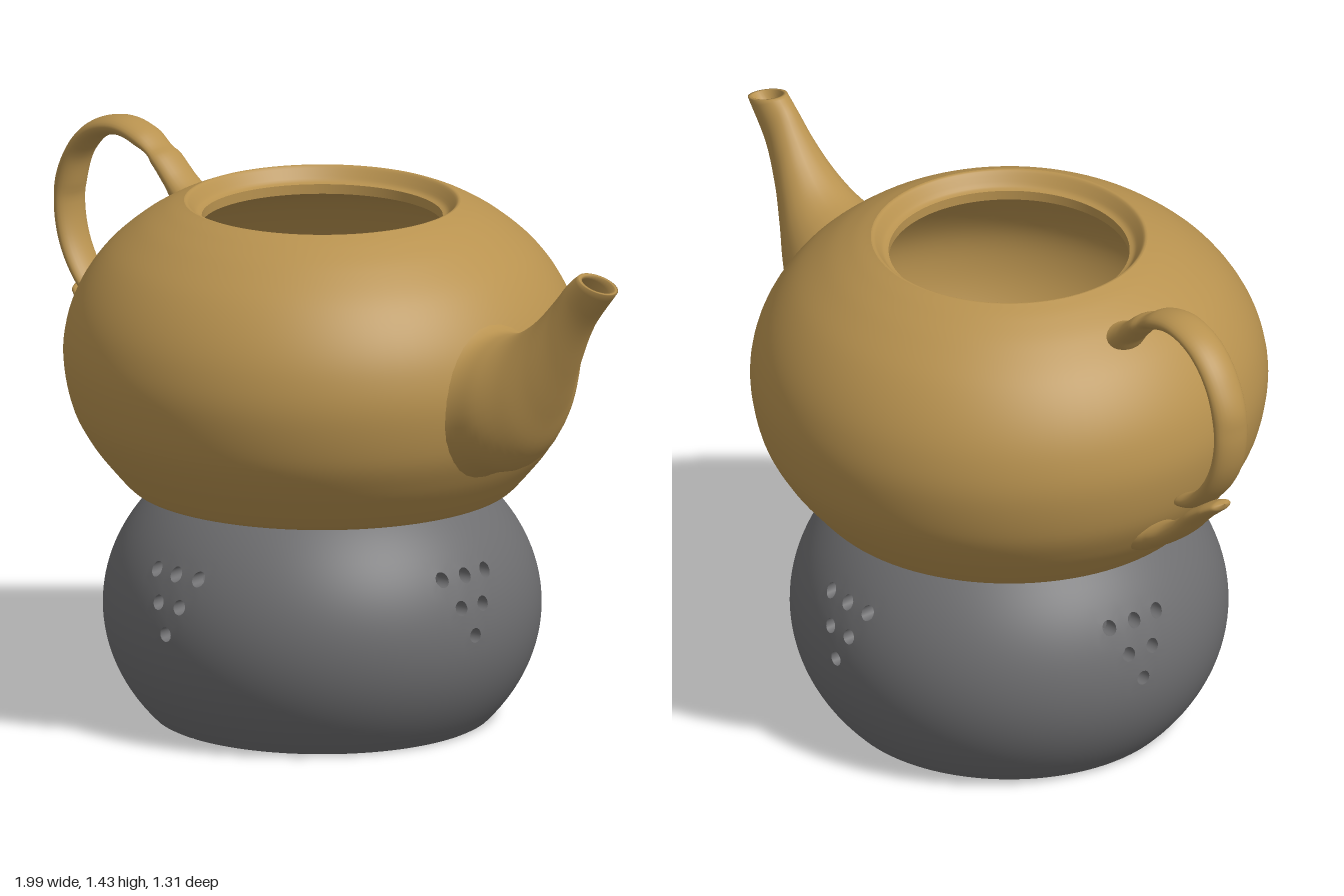
import * as THREE from 'three';

const CENTRE = -0.06; // x of the axis shared by pot and warmer

// Smooth lathe through [radius, y] points
function lathe(points, samples = 0) {
  let profile = points.map(([r, y]) => new THREE.Vector2(r, y));
  if (samples) profile = new THREE.SplineCurve(profile).getPoints(samples);
  return new THREE.LatheGeometry(profile, 96);
}

// Indexed geometry with smooth normals
function build(positions, index) {
  const g = new THREE.BufferGeometry();
  g.setAttribute('position', new THREE.Float32BufferAttribute(positions, 3));
  g.setIndex(index);
  g.computeVertexNormals();
  return g;
}

// Skin elliptical sections: centre (x, y), half-axis (ux, uy) in the xy plane, half-width w along z
function loft(sections, sides = 32) {
  const pos = [], index = [];
  sections.forEach(({ x, y, ux, uy, w }, i) => {
    for (let j = 0; j < sides; j++) {
      const t = (j / sides) * Math.PI * 2, c = Math.cos(t);
      pos.push(x + ux * c, y + uy * c, w * Math.sin(t));
      if (i === sections.length - 1) continue;
      const a = i * sides + j, b = i * sides + ((j + 1) % sides);
      index.push(a, b, a + sides, b, b + sides, a + sides);
    }
  });
  return build(pos, index);
}

// Oval strap along a path of [x, y, halfThickness, halfWidth]
function strap(points, samples) {
  const path = new THREE.CatmullRomCurve3(points.map(([x, y]) => new THREE.Vector3(x, y, 0)));
  const size = new THREE.CatmullRomCurve3(points.map(([, , h, w]) => new THREE.Vector3(h, w, 0)));
  const sections = [];
  for (let i = 0; i <= samples; i++) {
    const p = path.getPoint(i / samples), d = path.getTangent(i / samples), s = size.getPoint(i / samples);
    const h = Math.max(s.x, 0.0005), w = Math.max(s.y, 0.0005);
    sections.push({ x: p.x, y: p.y, ux: -d.y * h, uy: d.x * h, w });
  }
  return loft(sections, 24);
}

// Spout from [topX, topY, bottomX, bottomY, halfWidth], with a hollow mouth
function spoutGeometry() {
  const pts = [
    [0.48, 1.18, 0.43, 0.68, 0.24], [0.57, 1.115, 0.57, 0.745, 0.18], [0.63, 1.12, 0.655, 0.772, 0.16],
    [0.69, 1.145, 0.72, 0.83, 0.13], [0.755, 1.195, 0.775, 0.93, 0.095], [0.81, 1.255, 0.835, 1.05, 0.066],
    [0.848, 1.3, 0.905, 1.18, 0.05], [0.88, 1.325, 0.995, 1.29, 0.045],
  ];
  const top = new THREE.CatmullRomCurve3(pts.map((p) => new THREE.Vector3(p[0], p[1], p[4])));
  const bottom = new THREE.CatmullRomCurve3(pts.map((p) => new THREE.Vector3(p[2], p[3], 0)));
  const section = (t, k) => {
    const a = top.getPoint(t), b = bottom.getPoint(t);
    return { x: (a.x + b.x) / 2, y: (a.y + b.y) / 2, ux: ((a.x - b.x) / 2) * k, uy: ((a.y - b.y) / 2) * k, w: a.z * k };
  };
  const sections = [];
  for (let i = 0; i <= 42; i++) sections.push(section(i / 42, 1));
  sections.push(section(1, 0.9), section(1, 0.8));
  for (let t = 0.97; t > 0.6; t -= 0.06) sections.push(section(t, 0.72));
  return loft(sections);
}

// Warmer wall: a fine grid around the axis, with round holes cut in 4 x 4 cell patches
const COLS = 176, ROWS = 32, Y0 = 0.005, DY = 0.01875, WALL = 0.04;
const warmerRadius = (y) => 0.555 * Math.sqrt(1 - ((y - 0.29) / 0.45) ** 2);
const HOLES = [];
for (let side = 0; side < 4; side++) {
  for (const [col, row] of [[-4, 24], [0, 24], [4, 24], [-2, 20], [2, 20], [0, 16]]) HOLES.push({ side, col, row });
}

function holePoint({ side, col, row }, k, inset) {
  const t = (k / 16) * Math.PI * 2;
  const x = col * 0.0187 + 0.019 * Math.cos(t), y = Y0 + row * DY + 0.019 * Math.sin(t);
  const r = warmerRadius(y) - inset, a = (side * Math.PI) / 2 + Math.asin(x / r);
  return [r * Math.sin(a), y, r * Math.cos(a)];
}

function warmerWall(inset) {
  const pos = [], index = [], cut = new Set();
  const vert = (i, j) => j * COLS + ((i + COLS) % COLS);
  const tri = (a, b, c) => (inset ? index.push(a, c, b) : index.push(a, b, c));
  for (let j = 0; j <= ROWS; j++) {
    const y = Y0 + j * DY, r = warmerRadius(y) - inset;
    for (let i = 0; i < COLS; i++) {
      const a = (i / COLS) * Math.PI * 2;
      pos.push(r * Math.sin(a), y, r * Math.cos(a));
    }
  }
  for (const hole of HOLES) {
    const ci = hole.side * (COLS / 4) + hole.col, first = pos.length / 3;
    for (let i = -2; i < 2; i++) for (let j = -2; j < 2; j++) cut.add(vert(ci + i, hole.row + j));
    const edge = (k) => {
      const c = Math.cos((k * Math.PI) / 8), s = Math.sin((k * Math.PI) / 8), m = Math.max(Math.abs(c), Math.abs(s));
      return vert(ci + Math.round((2 * c) / m), hole.row + Math.round((2 * s) / m));
    };
    for (let k = 0; k < 16; k++) {
      pos.push(...holePoint(hole, k, inset));
      const h0 = first + k, h1 = first + ((k + 1) % 16);
      tri(h0, edge(k), edge(k + 1));
      tri(h0, edge(k + 1), h1);
    }
  }
  for (let j = 0; j < ROWS; j++) {
    for (let i = 0; i < COLS; i++) {
      if (cut.has(vert(i, j))) continue;
      tri(vert(i, j), vert(i + 1, j), vert(i, j + 1));
      tri(vert(i + 1, j), vert(i + 1, j + 1), vert(i, j + 1));
    }
  }
  return build(pos, index);
}

// Side of one hole, through the thickness of the wall
function holeLining(hole) {
  const pos = [], index = [];
  for (let k = 0; k < 16; k++) {
    pos.push(...holePoint(hole, k, 0), ...holePoint(hole, k, WALL));
    const o0 = k * 2, o1 = ((k + 1) % 16) * 2;
    index.push(o0, o1, o0 + 1, o1, o1 + 1, o0 + 1);
  }
  return build(pos, index);
}

export function createModel() {
  const model = new THREE.Group();
  const ochre = new THREE.MeshStandardMaterial({ color: 0xb8924f });
  ochre.name = 'ochre glaze';
  const grey = new THREE.MeshStandardMaterial({ color: 0x6e6e70 });
  grey.name = 'grey stoneware';
  const add = (parent, name, geometry, material) => {
    const mesh = new THREE.Mesh(geometry, material);
    mesh.name = name;
    parent.add(mesh);
  };

  // Warmer
  const warmer = new THREE.Group();
  warmer.name = 'warmer';
  warmer.position.x = CENTRE;
  add(warmer, 'warmerOuterWall', warmerWall(0), grey);
  add(warmer, 'warmerInnerWall', warmerWall(WALL), grey);
  HOLES.forEach((hole) => add(warmer, 'ventHole', holeLining(hole), grey));
  add(warmer, 'warmerBase', lathe([[0, 0], [0.41, 0]]), grey);
  add(warmer, 'warmerFoot', lathe([[0.41, 0], [0.422, 0.001], [warmerRadius(Y0), Y0]]), grey);
  add(warmer, 'warmerFloor', lathe([[0.42, 0.02], [0, 0.02]]), grey);
  const rimY = Y0 + ROWS * DY, rimR = warmerRadius(rimY);
  add(warmer, 'warmerRim', lathe([[rimR, rimY], [rimR - WALL, rimY]]), grey);

  // Pot body
  const pot = new THREE.Group();
  pot.name = 'potBody';
  pot.position.x = CENTRE;
  add(pot, 'potBase', lathe([[0, 0.602], [0.475, 0.602]]), ochre);
  add(pot, 'potOuterWall', lathe([
    [0.475, 0.602], [0.492, 0.609], [0.53, 0.65], [0.585, 0.72], [0.632, 0.81], [0.655, 0.93], [0.645, 1.03],
    [0.61, 1.12], [0.55, 1.205], [0.47, 1.275], [0.4, 1.318], [0.35, 1.34],
  ], 64), ochre);
  add(pot, 'lidSeat', lathe([[0.35, 1.34], [0.342, 1.338], [0.33, 1.322], [0.318, 1.306], [0.305, 1.3]], 12), ochre);
  add(pot, 'potMouth', lathe([[0.305, 1.3], [0.305, 1.275]]), ochre);
  add(pot, 'potInnerWall', lathe([
    [0.305, 1.275], [0.42, 1.235], [0.52, 1.14], [0.595, 1.02], [0.605, 0.9], [0.57, 0.78], [0.5, 0.68], [0.44, 0.64],
  ], 40), ochre);
  add(pot, 'potFloor', lathe([[0.44, 0.64], [0, 0.64]]), ochre);

  // Spout
  add(model, 'spout', spoutGeometry(), ochre);

  // Handle loop and the leaf that supports it
  add(model, 'handle', strap([
    [-0.46, 1.22, 0.07, 0.08], [-0.53, 1.255, 0.042, 0.058], [-0.575, 1.295, 0.028, 0.052], [-0.63, 1.345, 0.025, 0.05],
    [-0.7, 1.385, 0.025, 0.05], [-0.78, 1.4, 0.025, 0.05], [-0.87, 1.373, 0.025, 0.05], [-0.94, 1.3, 0.025, 0.05],
    [-0.974, 1.19, 0.025, 0.05], [-0.96, 1.08, 0.024, 0.05], [-0.91, 0.99, 0.022, 0.05], [-0.84, 0.925, 0.02, 0.046],
    [-0.785, 0.9, 0.015, 0.035], [-0.768, 0.895, 0, 0],
  ], 90), ochre);
  add(model, 'handleLeaf', strap([
    [-0.95, 0.958, 0, 0], [-0.935, 0.948, 0.013, 0.03], [-0.9, 0.925, 0.018, 0.044], [-0.85, 0.885, 0.021, 0.05],
    [-0.8, 0.835, 0.023, 0.05], [-0.74, 0.787, 0.025, 0.05], [-0.685, 0.757, 0.032, 0.055], [-0.63, 0.74, 0.05, 0.07],
    [-0.57, 0.735, 0.06, 0.08],
  ], 60), ochre);

  model.add(warmer, pot);
  return model;
}
